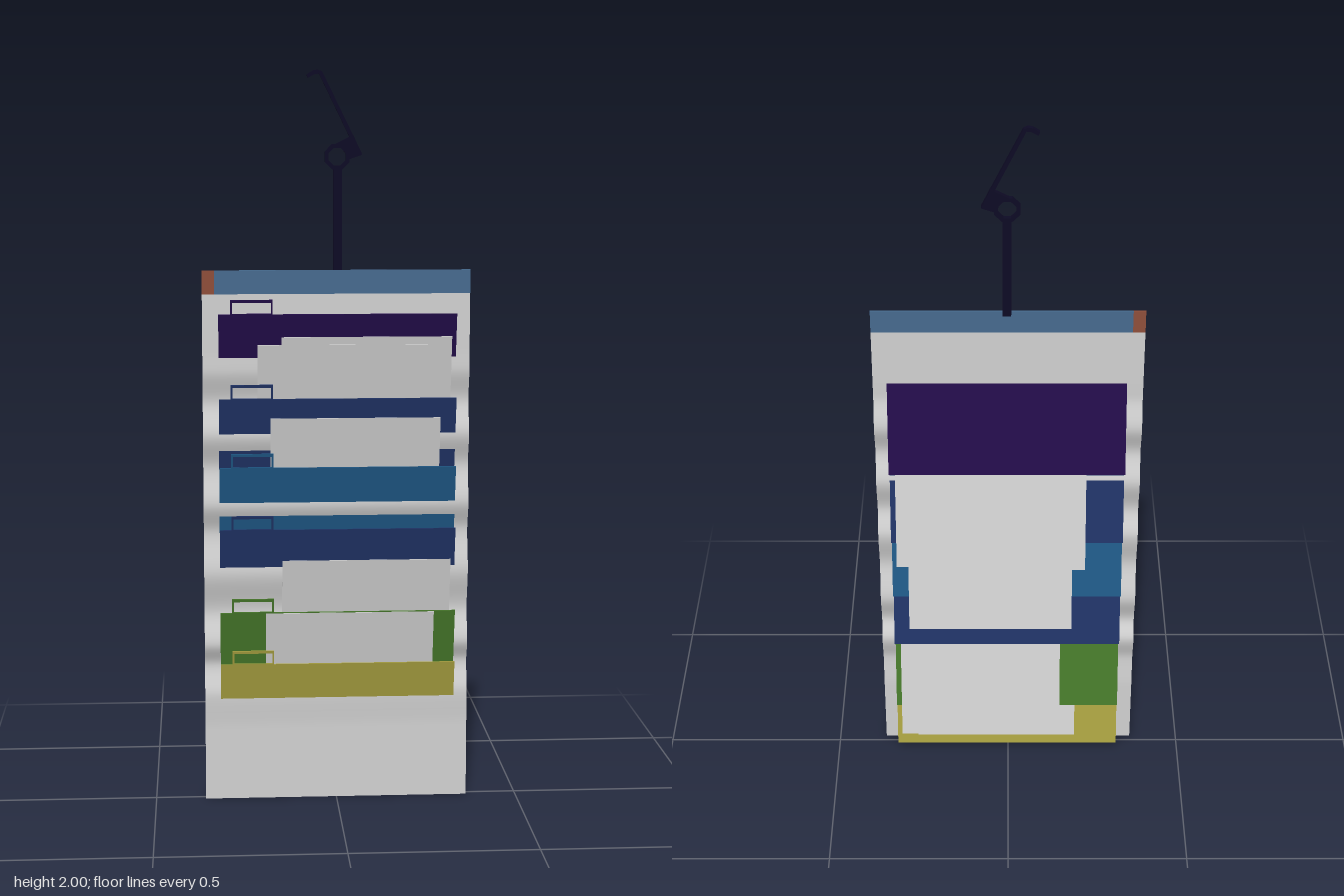
import * as THREE from 'three';

const mat = (name, color, side = THREE.FrontSide) => {
  const m = new THREE.MeshStandardMaterial({ color, side });
  m.name = name;
  return m;
};

export function createModel() {
  const root = new THREE.Group();
  root.name = 'hangingFileOrganizer';
  const white = mat('paperGrey', 0xd0d0d0, THREE.DoubleSide);
  const metal = mat('darkMetal', 0x0d0a24);
  const purple = mat('purple', 0x230c4a);
  const navy = mat('navy', 0x203366);
  const blue = mat('blue', 0x1f5886);
  const green = mat('green', 0x46782a);
  const yellow = mat('yellow', 0xa8a040);
  const steel = mat('steelBlue', 0x466a8e);
  const brown = mat('brown', 0x8e4e3a);

  const add = (parent, name, geometry, material, x = 0, y = 0, z = 0) => {
    const m = new THREE.Mesh(geometry, material);
    m.name = name;
    m.position.set(x, y, z);
    parent.add(m);
    return m;
  };
  const shape = (pts) => new THREE.Shape(pts.map(([x, y]) => new THREE.Vector2(x, y)));
  const plate = (s, depth) =>
    new THREE.ExtrudeGeometry(s, { depth, bevelEnabled: false, curveSegments: 8 }).translate(0, 0, -depth / 2);

  // Backing sheet: z follows a wave that dips behind each folder, [y, z]
  const wave = [[1.47, .018], [1.25, .019], [1.2, .02], [1.11, .001], [1.02, .0245], [.93, .001], [.83, .024],
    [.75, .001], [.64, .023], [.53, .001], [.44, .024], [.38, .003], [.295, .0235], [.2, .018], [0, .018]];
  const waveZ = (y) => {
    let i = 0;
    while (i < wave.length - 2 && y < wave[i + 1][0]) i++;
    const [y0, z0] = wave[i], [y1, z1] = wave[i + 1];
    return z0 + (z1 - z0) * THREE.MathUtils.smoothstep((y0 - y) / (y0 - y1), 0, 1);
  };
  const sheet = new THREE.PlaneGeometry(.725, 1.467, 1, 160).translate(0, .7335, 0);
  const p = sheet.attributes.position;
  for (let i = 0; i < p.count; i++) p.setZ(i, waveZ(p.getY(i)));
  sheet.computeVertexNormals();
  add(root, 'backingSheet', sheet, white);

  // Header strip with a coloured end
  add(root, 'headerStrip', new THREE.BoxGeometry(.692, .064, .006), steel, .0165, 1.436, .02);
  add(root, 'headerEnd', plate(shape([[-.3625, 1.404], [-.3295, 1.404], [-.3295, 1.468], [-.3625, 1.468]]), .006),
    brown, 0, 0, .02);

  // Folders lean backwards through the sheet, each with an open index tab
  const tilt = Math.atan(.228);
  const folderLength = .365 / Math.cos(tilt);
  const tabShape = shape([[-.287, -.002], [-.173, -.002], [-.173, .041], [-.287, .041]]);
  tabShape.holes.push(shape([[-.282, .002], [-.282, .033], [-.178, .033], [-.178, .002]]));
  const tabGeometry = plate(tabShape, .003);
  const folderGeometry = new THREE.BoxGeometry(.644, folderLength, .003).translate(.003, -folderLength / 2, 0);
  [[1.351, purple], [1.122, navy], [.934, blue], [.763, navy], [.533, green], [.388, yellow]].forEach(([y, m], i) => {
    const folder = new THREE.Group();
    folder.name = `folder${i + 1}`;
    folder.position.set(0, y, .045);
    folder.rotation.x = tilt;
    add(folder, 'folderPanel', folderGeometry, m);
    add(folder, 'indexTab', tabGeometry, m);
    root.add(folder);
  });

  // Loose papers: left edge, top, height
  [[-.15, 1.291, .6], [-.215, 1.27, .59], [-.18, 1.071, .6], [-.15, .68, .6], [-.195, .534, .48]].forEach(([x, y, h], i) => {
    const paperTilt = Math.atan(.207);
    const length = h / Math.cos(paperTilt);
    const paper = add(root, `paper${i + 1}`,
      new THREE.BoxGeometry(.46, length, .0015).translate(.23, -length / 2, 0), white, x, y, .062);
    paper.rotation.x = paperTilt;
  });

  // Hanger: stem, eight-sided eye, clamp block and bent hook wire
  const hook = new THREE.Group();
  hook.name = 'hanger';
  hook.position.z = .016;
  root.add(hook);
  add(hook, 'stem', new THREE.BoxGeometry(.023, .29, .011), metal, .003, 1.602, 0);
  const octagon = (r) => Array.from({ length: 8 }, (_, i) => {
    const a = (i + .5) * Math.PI / 4;
    return [r * Math.cos(a), r * Math.sin(a)];
  });
  const eye = shape(octagon(.036));
  eye.holes.push(shape(octagon(.025).reverse()));
  add(hook, 'eye', plate(eye, .013), metal, .002, 1.77, 0);
  add(hook, 'clamp', plate(shape([[.03, 1.762], [.068, 1.775], [.045, 1.828], [-.002, 1.804], [.02, 1.79]]), .014), metal);
  add(hook, 'hookWire', plate(shape([[.058, 1.775], [.068, 1.779], [-.038, 1.995], [-.05, 2], [-.062, 1.998],
    [-.08, 1.987], [-.076, 1.978], [-.058, 1.988], [-.046, 1.989]]), .013), metal);
  return root;
}
